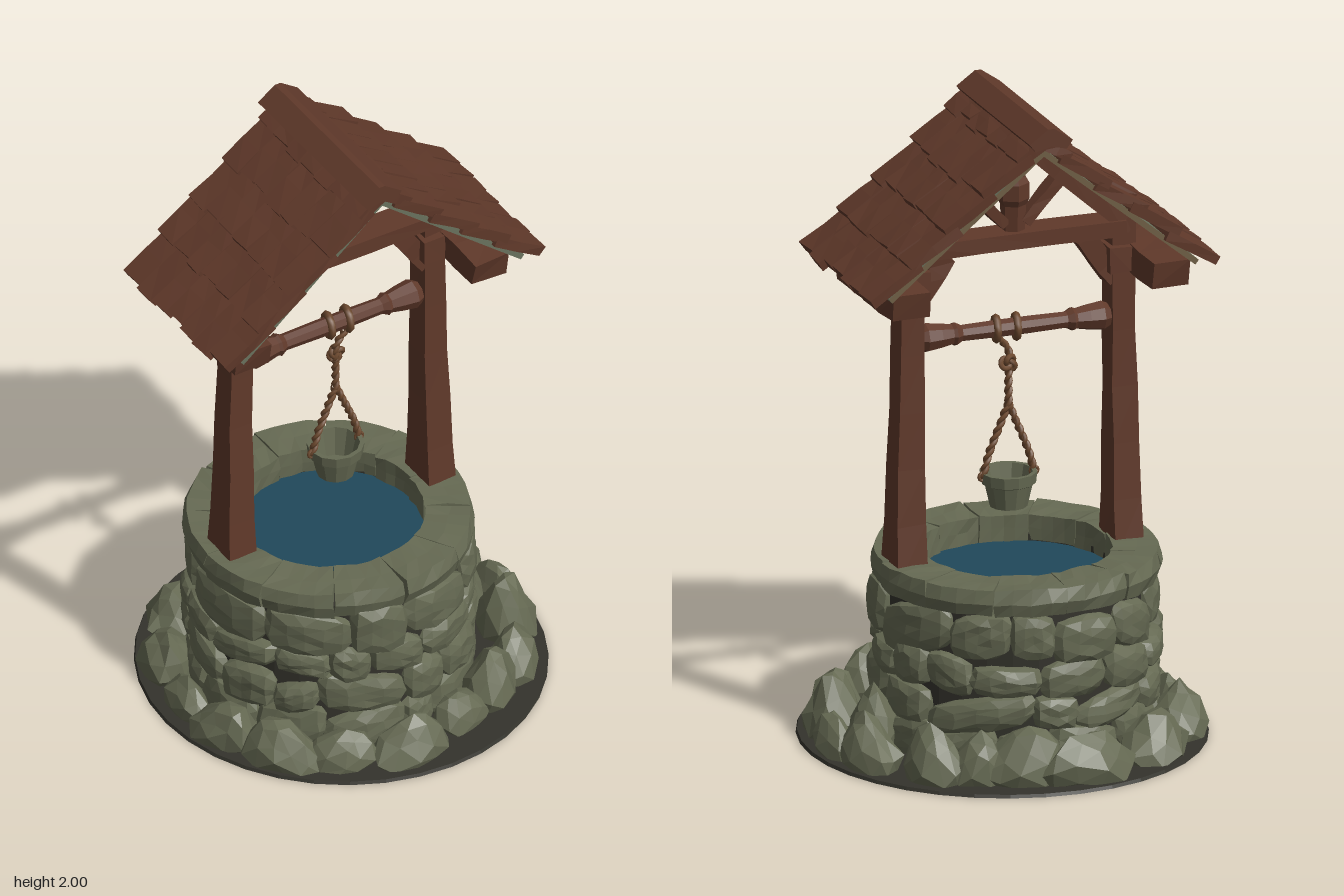
import * as THREE from 'three';

const paint = (name, color) => Object.assign(new THREE.MeshStandardMaterial({ color }), { name });

// small seeded generator
let seed = 7;
const rnd = () => {
  seed = (seed * 16807) % 2147483647;
  return seed / 2147483647;
};
const spread = (a) => (rnd() * 2 - 1) * a;

// move every corner by a rule; corners sharing a place stay together
function reshape(geo, rule) {
  const pos = geo.attributes.position, moved = new Map(), v = new THREE.Vector3();
  for (let i = 0; i < pos.count; i++) {
    v.fromBufferAttribute(pos, i);
    const key = [v.x, v.y, v.z].map((n) => Math.round(n * 1e4)).join();
    if (!moved.has(key)) {
      rule(v);
      moved.set(key, v.clone());
    }
    const m = moved.get(key);
    pos.setXYZ(i, m.x, m.y, m.z);
  }
  return geo;
}
const jitter = (v, a) => v.set(v.x + spread(a), v.y + spread(a), v.z + spread(a));

// facet the geometry so it reads as low-poly
function facet(geo) {
  const g = geo.index ? geo.toNonIndexed() : geo;
  g.computeVertexNormals();
  return g;
}
const lathe = (points, sides) => facet(new THREE.LatheGeometry(points.map((p) => new THREE.Vector2(...p)), sides));

export function createModel() {
  seed = 7;
  const model = new THREE.Group();
  model.name = 'well';
  const stone = paint('mossy stone', 0x666a53);
  const earth = paint('dark earth', 0x34332c);
  const underside = paint('pale underside', 0x4f5044);
  const wood = paint('red brown wood', 0x60392a);
  const lining = paint('grey green boards', 0x69725d);
  const rawWood = paint('tan board ends', 0x6e5f44);
  const water = paint('water', 0x20485b);
  const rope = paint('rope', 0x6e4a2f);
  const CX = -0.04; // axis of the well shaft

  function add(name, geo, mat, parent = model, x = 0, y = 0, z = 0) {
    const m = new THREE.Mesh(geo, mat);
    m.name = name;
    m.position.set(x, y, z);
    parent.add(m);
    return m;
  }
  function group(name, x = 0, y = 0, z = 0) {
    const g = new THREE.Group();
    g.name = name;
    g.position.set(x, y, z);
    model.add(g);
    return g;
  }
  // wrap a block lying along x around the shaft
  const bend = (v, angle, R) => {
    const t = angle + v.x / R, r = R + v.z;
    v.set(Math.sin(t) * r, v.y, Math.cos(t) * r);
  };

  // ground disc
  const disc = new THREE.CylinderGeometry(0.616, 0.62, 0.01, 36);
  disc.scale(1, 1, 1.025);
  add('ground', facet(disc), [earth, earth, underside], model, 0, 0.005);

  // mortar core, lining the shaft too
  add('mortarCore', lathe([[0.402, 0], [0.402, 0.52], [0.295, 0.52], [0.295, 0.4]], 32), earth, model, CX);
  const pool = new THREE.CircleGeometry(0.297, 32);
  pool.rotateX(-Math.PI / 2);
  add('water', pool, water, model, CX, 0.5);

  // wall stones in uneven courses
  const wall = group('wall', CX);
  const courses = [[0, 0.13, 13], [0.125, 0.25, 12], [0.245, 0.355, 14], [0.34, 0.5, 12]];
  courses.forEach(([y0, y1, n], row) => {
    const widths = Array.from({ length: n }, () => 0.55 + rnd() * 0.9);
    const total = widths.reduce((a, b) => a + b);
    let angle = row * 0.37;
    for (const w of widths) {
      const arc = (w / total) * Math.PI * 2, R = 0.385;
      const hw = (arc * R) / 2 + 0.002, hh = (y1 - y0) / 2 + spread(0.014), lift = spread(0.014);
      const depth = 0.048 + rnd() * 0.016, slant = spread(0.25);
      const geo = reshape(new THREE.IcosahedronGeometry(1, 2), (v) => {
        const k = (v.x ** 4 + v.y ** 4 + v.z ** 4) ** -0.25;
        v.multiplyScalar(k * 1.02);
        v.set(v.x * hw, v.y * hh, v.z * depth);
        jitter(v, 0.004);
        v.y = Math.max(0.003, v.y + v.x * slant + (y0 + y1) / 2 + lift);
        bend(v, angle + arc / 2, R);
      });
      add('wallStone', facet(geo), stone, wall);
      angle += arc;
    }
  });

  // rim blocks
  const rim = group('rim', CX, 0.542);
  for (let i = 0; i < 12; i++) {
    const arc = (Math.PI * 2) / 12, out = spread(0.006);
    const geo = reshape(new THREE.BoxGeometry(arc * 0.363 - 0.003, 0.084, 0.152, 4, 2, 2), (v) => {
      if (Math.abs(v.y) > 0.04 && v.z > 0.05) v.z -= 0.012;
      jitter(v, 0.004);
      v.z += out;
      bend(v, i * arc + arc / 2, 0.363);
    });
    add('rimBlock', facet(geo), stone, rim);
  }

  // loose rocks around the foot: x, z, half width, half depth, height
  const rocks = [
    [-0.07, -0.53, 0.16, 0.085, 0.16], [0.13, -0.47, 0.14, 0.09, 0.18], [-0.33, -0.4, 0.13, 0.1, 0.15],
    [0.37, -0.37, 0.1, 0.08, 0.18], [0.5, -0.18, 0.11, 0.08, 0.17], [0.55, -0.02, 0.11, 0.06, 0.13],
    [0.49, 0.15, 0.1, 0.09, 0.21], [0.41, 0.32, 0.11, 0.08, 0.15], [0.27, 0.41, 0.1, 0.08, 0.18],
    [0.13, 0.46, 0.1, 0.07, 0.13], [-0.08, 0.52, 0.13, 0.08, 0.15], [-0.27, 0.44, 0.12, 0.08, 0.12],
    [-0.42, 0.34, 0.13, 0.09, 0.15], [-0.51, 0.16, 0.12, 0.08, 0.14], [-0.53, -0.02, 0.12, 0.06, 0.12],
    [-0.48, -0.22, 0.13, 0.09, 0.16], [0.43, -0.03, 0.1, 0.08, 0.21], [0.25, -0.43, 0.09, 0.07, 0.16],
  ];
  const pile = group('looseRocks');
  for (const [x, z, w, d, h] of rocks) {
    const lean = spread(0.25);
    const geo = reshape(new THREE.IcosahedronGeometry(1, 1), (v) => {
      const pinch = 1 - 0.35 * Math.max(0, v.y); // narrows to a rough peak
      jitter(v, 0.11);
      v.set((v.x * pinch + lean * v.y) * w, Math.max(0.004, h * (0.28 + v.y * 0.72)), v.z * pinch * d);
    });
    add('rock', facet(geo), stone, pile, x, 0, z).rotation.y = Math.atan2(x, z);
  }

  // straight timber between two points
  function beam(name, a, b, w, d, parent) {
    const A = new THREE.Vector3(...a), B = new THREE.Vector3(...b);
    const geo = reshape(new THREE.BoxGeometry(w, A.distanceTo(B), d, 1, 3, 1), (v) => jitter(v, 0.003));
    const m = add(name, facet(geo), wood, parent);
    m.position.copy(A).add(B).multiplyScalar(0.5);
    m.quaternion.setFromUnitVectors(new THREE.Vector3(0, 1, 0), B.sub(A).normalize());
  }

  // posts with flared feet, plates and braces on both sides
  const frame = group('frame', -0.035);
  for (const s of [-1, 1]) {
    const post = reshape(new THREE.BoxGeometry(1, 1.06, 1, 1, 6, 1), (v) => {
      const t = Math.max(0, (0.2 - v.y) / 0.73);
      v.x *= 0.074 * (1 + 0.3 * t);
      v.z *= 0.082 * (1 + 0.75 * t * t);
      jitter(v, 0.003);
      v.x += s * 0.01 * t;
    });
    add('post', facet(post), wood, frame, s * 0.342, 1.06);
    const plate = reshape(new THREE.BoxGeometry(0.12, 0.085, 0.48, 1, 1, 4), (v) => {
      if (v.y < 0 && Math.abs(v.z) > 0.2) v.z *= 0.92;
      jitter(v, 0.004);
    });
    add('eavePlate', facet(plate), wood, frame, s * 0.42, 1.468);
    beam('crossStub', [s * 0.29, 1.47, 0], [s * 0.485, 1.47, 0], 0.08, 0.13, frame);
    beam('kneeBrace', [s * 0.325, 1.4, 0], [s * 0.225, 1.54, 0], 0.062, 0.07, frame);
    beam('strut', [s * 0.03, 1.61, 0], [s * 0.15, 1.74, 0], 0.035, 0.05, frame);
    beam('rafter', [s * 0.37, 1.56, 0], [s * 0.02, 1.87, 0], 0.055, 0.08, frame);
  }
  beam('tieBeam', [-0.35, 1.565, 0], [0.35, 1.565, 0], 0.05, 0.1, frame);
  const king = [[0, 1.58], [0.035, 1.58], [0.04, 1.67], [0.05, 1.69], [0.05, 1.74], [0.038, 1.76], [0.042, 1.79], [0.05, 1.9], [0, 1.9]];
  add('kingPost', lathe(king, 6), wood, frame);

  // roof slopes: boards below, overlapping tiles above
  const slope = 0.69, edges = [-0.29, -0.2, -0.12, -0.045, 0.04, 0.115, 0.195, 0.29];
  const boardFaces = [lining, lining, lining, lining, lining, rawWood];
  for (const s of [-1, 1]) {
    const side = group('roofSlope', -0.025, 1.945, 0);
    side.rotation.z = -s * slope;
    add('roofBoards', new THREE.BoxGeometry(0.66, 0.018, 0.55), boardFaces, side, s * 0.33, -0.02);
    for (let row = 0; row < 5; row++) {
      for (let c = 0; c < edges.length - 1; c++) {
        const tip = 0.708 - row * 0.152 + spread(0.012), len = Math.min(0.19, tip);
        const width = edges[c + 1] - edges[c] - 0.002;
        const geo = reshape(new THREE.BoxGeometry(len, 0.032, width, 2, 1, 1), (v) => jitter(v, 0.003));
        const z = (edges[c] + edges[c + 1]) / 2;
        add('roofTile', facet(geo), wood, side, s * (tip - len / 2), 0.01 + spread(0.003), z).rotation.z = s * 0.13;
      }
    }
  }
  const capEdge = [[-0.07, 1.958], [-0.05, 1.932], [0, 1.945], [0.05, 1.932], [0.07, 1.958], [0.01, 2], [-0.01, 2]];
  const cap = new THREE.Shape(capEdge.map((p) => new THREE.Vector2(...p)));
  add('ridgeCap', new THREE.ExtrudeGeometry(cap, { depth: 0.596, bevelEnabled: false }), wood, model, CX, 0, -0.298);

  // turned axle
  const half = [[0.034, 0.31], [0.046, 0.285], [0.04, 0.24], [0.032, 0.2], [0.037, 0.19], [0.026, 0.17], [0.028, 0.05]];
  const turned = [[0, -0.31], ...half.map(([r, y]) => [r, -y]), ...half.slice().reverse(), [0, 0.31]];
  add('axle', lathe(turned, 8), wood, model, -0.035, 1.28).rotation.z = Math.PI / 2;

  // twisted rope: two strands winding round a path
  const hoist = group('hoist', -0.02);
  function twist(name, points) {
    const path = new THREE.CatmullRomCurve3(points.map((p) => new THREE.Vector3(...p)));
    const turns = path.getLength() / 0.06;
    for (const phase of [0, Math.PI]) {
      const strand = [];
      for (let i = 0; i <= 40; i++) {
        const a = (i / 40) * turns * Math.PI * 2 + phase;
        strand.push(path.getPointAt(i / 40).add(new THREE.Vector3(Math.cos(a) * 0.006, 0, Math.sin(a) * 0.006)));
      }
      add(name, new THREE.TubeGeometry(new THREE.CatmullRomCurve3(strand), 60, 0.0075, 6), rope, hoist);
    }
  }
  for (const x of [-0.025, 0.04]) {
    const coil = add('ropeCoil', new THREE.TorusGeometry(0.034, 0.012, 6, 14), rope, hoist, x, 1.28);
    coil.rotation.y = Math.PI / 2 - 0.2;
  }
  twist('rope', [[0.03, 1.25, 0.01], [-0.005, 1.2, 0.01], [0, 1.12, 0], [0, 1.02, 0]]);
  add('knot', new THREE.TorusKnotGeometry(0.016, 0.009, 40, 6), rope, hoist, 0, 1.165);
  for (const s of [-1, 1]) {
    twist('ropeLeg', [[0, 1.04, 0], [s * 0.02, 0.99, 0], [s * 0.065, 0.88, 0], [s * 0.083, 0.81, 0]]);
    add('bucketEye', new THREE.TorusGeometry(0.012, 0.006, 6, 10), rope, hoist, s * 0.083, 0.815);
  }

  // hollow bucket
  const pail = [[0, 0.715], [0.058, 0.715], [0.074, 0.785], [0.084, 0.79], [0.088, 0.825], [0.074, 0.825], [0.054, 0.735], [0, 0.735]];
  add('bucket', lathe(pail, 12), stone, hoist);
  return model;
}
